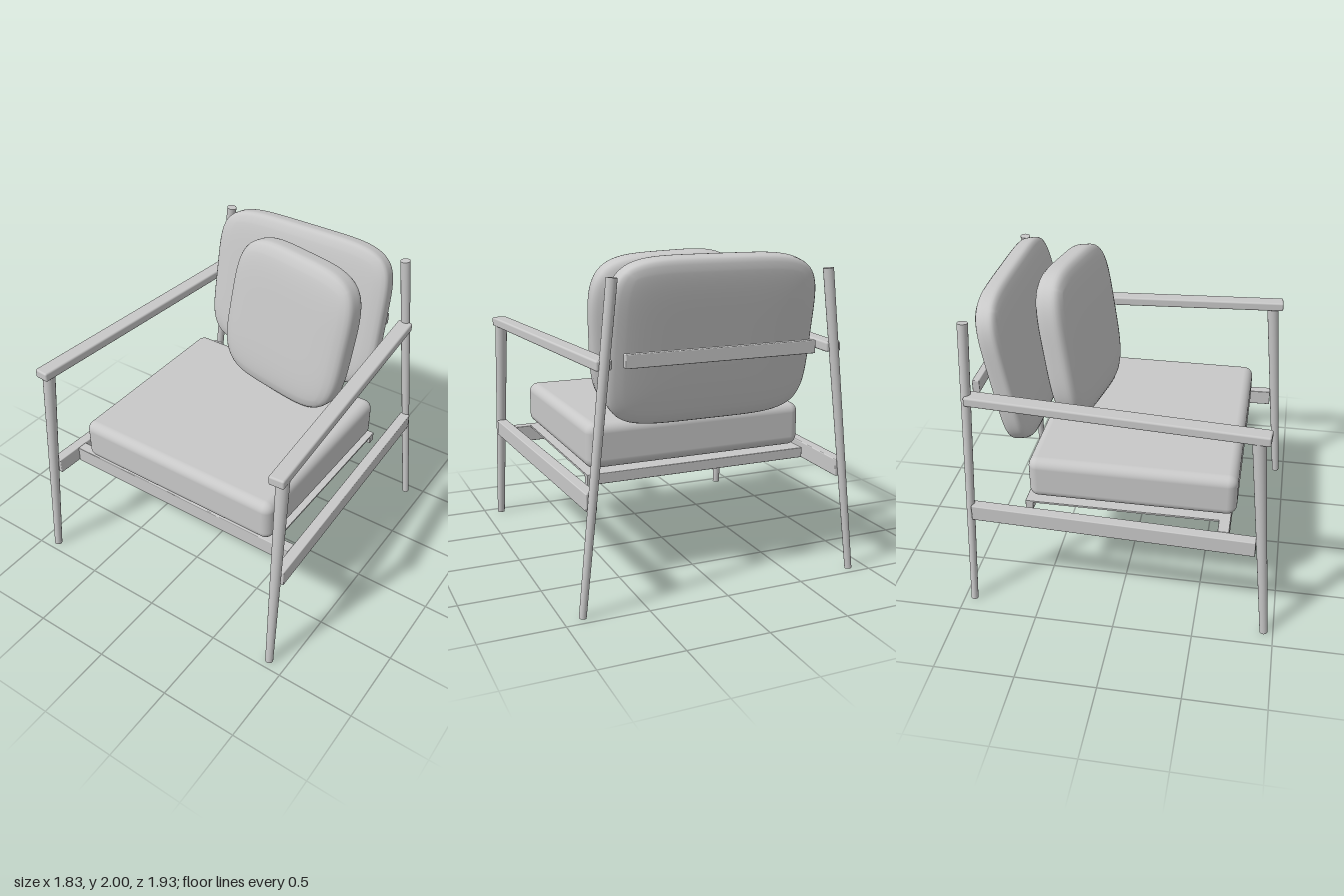
import * as THREE from 'three';
import { mergeVertices } from 'three/addons/utils/BufferGeometryUtils.js';
import { RoundedBoxGeometry } from 'three/addons/geometries/RoundedBoxGeometry.js';

const grey = new THREE.MeshStandardMaterial({ color: 0xc8c8c8 });
grey.name = 'plain grey';

function add(group, name, geometry, x = 0, y = 0, z = 0) {
  const mesh = new THREE.Mesh(geometry, grey);
  mesh.name = name;
  mesh.position.set(x, y, z);
  group.add(mesh);
  return mesh;
}

// Tapered round leg from a foot point to a top point
function leg(group, name, foot, top, rFoot, rTop) {
  const a = new THREE.Vector3(...foot), b = new THREE.Vector3(...top);
  const dir = b.clone().sub(a);
  const mesh = add(group, name, new THREE.CylinderGeometry(rTop, rFoot, dir.length(), 32));
  mesh.position.copy(a).add(b).multiplyScalar(0.5);
  mesh.quaternion.setFromUnitVectors(new THREE.Vector3(0, 1, 0), dir.normalize());
}

// Horizontal beam running from front (x0, z0) to back (x1, z1)
function beam(group, name, x0, z0, x1, z1, y, width, height, radius) {
  const length = Math.hypot(x1 - x0, z1 - z0);
  const mesh = add(group, name, new RoundedBoxGeometry(width, height, length, 3, radius),
    (x0 + x1) / 2, y, (z0 + z1) / 2);
  mesh.rotation.y = Math.atan2(x0 - x1, z0 - z1);
}

// Soft cushion: a subdivided box pulled onto a rounded superellipsoid
function cushionGeometry(width, height, depth, outline, edge) {
  const geometry = new THREE.BoxGeometry(2, 2, 2, 40, 40, 12);
  geometry.deleteAttribute('uv');
  geometry.deleteAttribute('normal');
  const p = geometry.attributes.position;
  for (let i = 0; i < p.count; i++) {
    const x = p.getX(i), y = p.getY(i), z = p.getZ(i);
    const r = (Math.abs(x) ** outline + Math.abs(y) ** outline) ** (1 / outline);
    const s = (r ** edge + Math.abs(z) ** edge) ** (1 / edge);
    p.setXYZ(i, x / s * width / 2, y / s * height / 2, z / s * depth / 2);
  }
  const merged = mergeVertices(geometry, 1e-5);
  merged.computeVertexNormals();
  return merged;
}

export function createModel() {
  const chair = new THREE.Group();
  chair.name = 'armchair';

  // Mirrored side frames
  for (const [s, side] of [[1, 'left'], [-1, 'right']]) {
    const frame = new THREE.Group();
    frame.name = side + 'SideFrame';
    leg(frame, 'frontLeg', [s * 0.888, 0.003, 0.942], [s * 0.863, 1.41, 0.82], 0.025, 0.04);
    leg(frame, 'backLeg', [s * 0.885, 0.003, -0.938], [s * 0.673, 1.9, -0.9], 0.022, 0.032);
    beam(frame, 'armrest', s * 0.86, 0.89, s * 0.725, -0.91, 1.43, 0.098, 0.06, 0.012);
    beam(frame, 'sideRail', s * 0.876, 0.85, s * 0.81, -0.91, 0.668, 0.068, 0.105, 0.006);
    chair.add(frame);
  }

  // Cross rails
  add(chair, 'frontRail', new RoundedBoxGeometry(1.67, 0.107, 0.07, 2, 0.005), 0, 0.666, 0.65);
  add(chair, 'seatBackRail', new RoundedBoxGeometry(1.455, 0.065, 0.05, 2, 0.005), 0, 0.6875, -0.57);
  add(chair, 'backSlat', new RoundedBoxGeometry(1.2, 0.08, 0.045, 2, 0.006), 0, 1.44, -0.8875);

  // Seat board
  add(chair, 'seatBoard', new THREE.BoxGeometry(1.455, 0.012, 1.23), 0, 0.714, 0.025);

  // Cushions
  add(chair, 'seatCushion', new RoundedBoxGeometry(1.43, 0.277, 1.29, 6, 0.06), 0, 0.874, 0.07);

  const back = add(chair, 'backCushion', cushionGeometry(1.305, 0.995, 0.178, 5, 5), 0, 1.503, -0.724);
  back.rotation.x = -0.185;

  const pillow = add(chair, 'loosePillow', cushionGeometry(0.955, 0.995, 0.22, 4, 4.5), 0.139, 1.499, -0.402);
  pillow.rotation.set(-0.165, -0.13, -0.055, 'YXZ');

  return chair;
}
